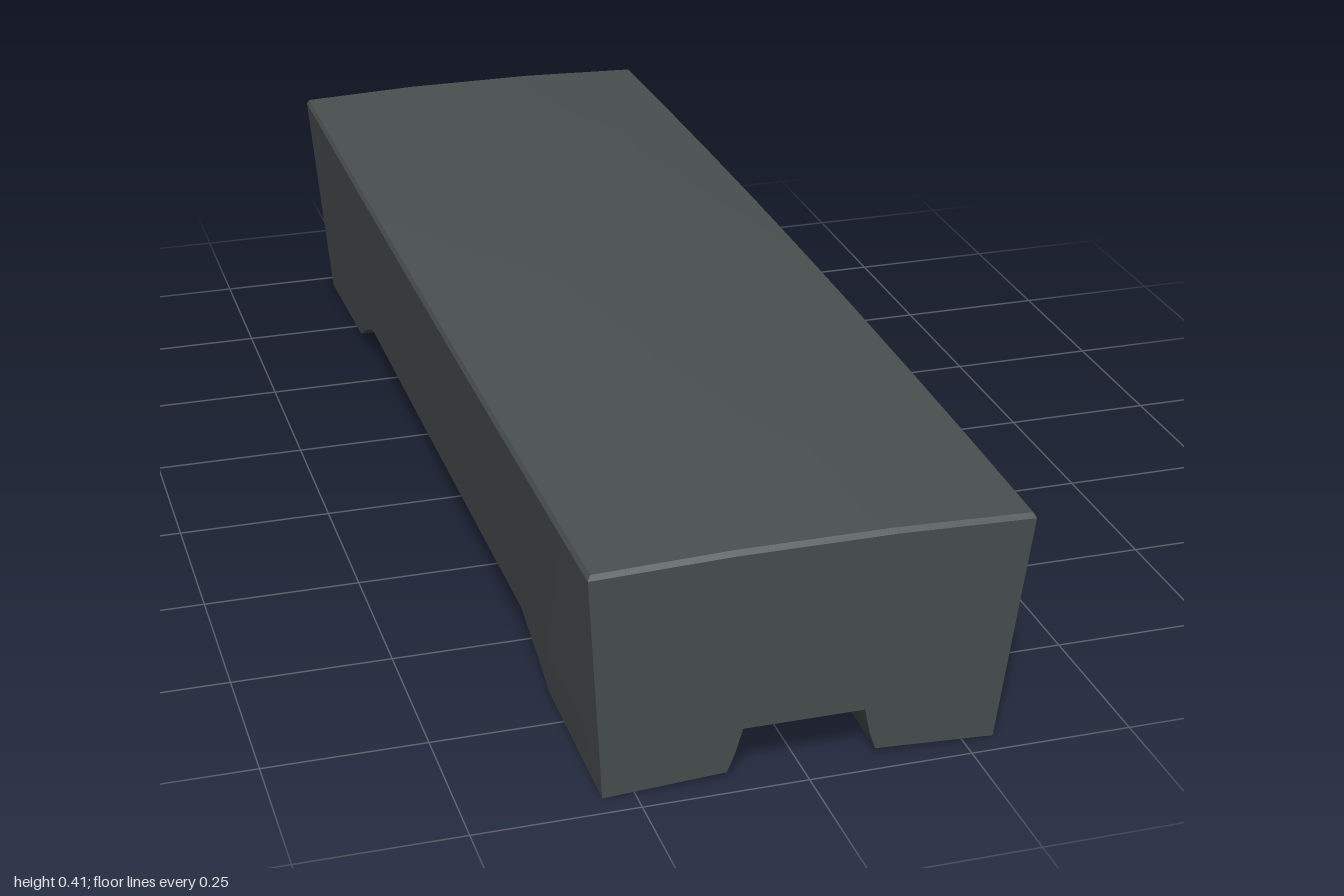
import * as THREE from 'three';
import { toCreasedNormals } from 'three/addons/utils/BufferGeometryUtils.js';

const material = new THREE.MeshStandardMaterial({ color: 0x4a5050 });
const lerp = THREE.MathUtils.lerp;

// Outer walls flare upwards; the long sides bow out slightly mid-length.
const halfWidth = (y, w) => 0.298 + (0.037 - 0.006 * w * w) * (y / 0.385);
const halfLength = (y) => 0.963 + 0.037 * (y / 0.385);

// Moves every vertex of a 2x2x2 box by rule(u, v, w), each running -1..1.
function shapedBox(name, segments, rule) {
  const geometry = new THREE.BoxGeometry(2, 2, 2, ...segments);
  const p = geometry.attributes.position;
  for (let i = 0; i < p.count; i++) {
    p.setXYZ(i, ...rule(p.getX(i), p.getY(i), p.getZ(i)));
  }
  const mesh = new THREE.Mesh(toCreasedNormals(geometry, 0.45), material);
  mesh.name = name;
  return mesh;
}

// Slab with a crowned top and a narrow bevel around the upper edge.
function createBody() {
  const columns = [-1, -0.36, 0.36, 1];
  return shapedBox('body', [3, 2, 8], (u, v, w) => {
    const s = columns[Math.round((u + 1) * 1.5)];
    const rise = 1 - w * w;
    const flat = Math.abs(s) < 0.5 ? 1 : 0;
    const top = 0.383 + 0.008 * rise + (0.007 + 0.012 * rise) * flat;
    const y = v < -0.5 ? 0.086 : v < 0.5 ? top - 0.008 : top;
    const inset = v > 0.5 ? 0.005 : 0;
    return [
      s * (halfWidth(y, w) - inset),
      y,
      w * (halfLength(Math.min(y, 0.385)) - inset),
    ];
  });
}

// Corner foot: outer faces continue the body, inner faces flare into the belly.
function createFoot(name, sx, sz) {
  const innerX = [0.113, 0.102, 0.092];
  const innerZ = [0.685, 0.63, 0.54];
  return shapedBox(name, [1, 2, 1], (u, v, w) => {
    const level = Math.round(v + 1);
    const outX = u * sx > 0;
    const outZ = w * sz > 0;
    const sole = (outX ? 0 : 0.011) + (outZ ? 0.002 : 0.014);
    const y = [sole, 0.045, 0.087][level];
    return [
      sx * (outX ? halfWidth(y, lerp(0.6, 1, outZ ? 1 : 0)) : innerX[level]),
      y,
      sz * (outZ ? halfLength(y) : innerZ[level]),
    ];
  });
}

export function createModel() {
  const group = new THREE.Group();
  group.name = 'lowBench';
  group.add(createBody());
  for (const sx of [1, -1]) {
    for (const sz of [1, -1]) {
      const name = (sz > 0 ? 'front' : 'back') + (sx > 0 ? 'Left' : 'Right') + 'Foot';
      group.add(createFoot(name, sx, sz));
    }
  }
  return group;
}
